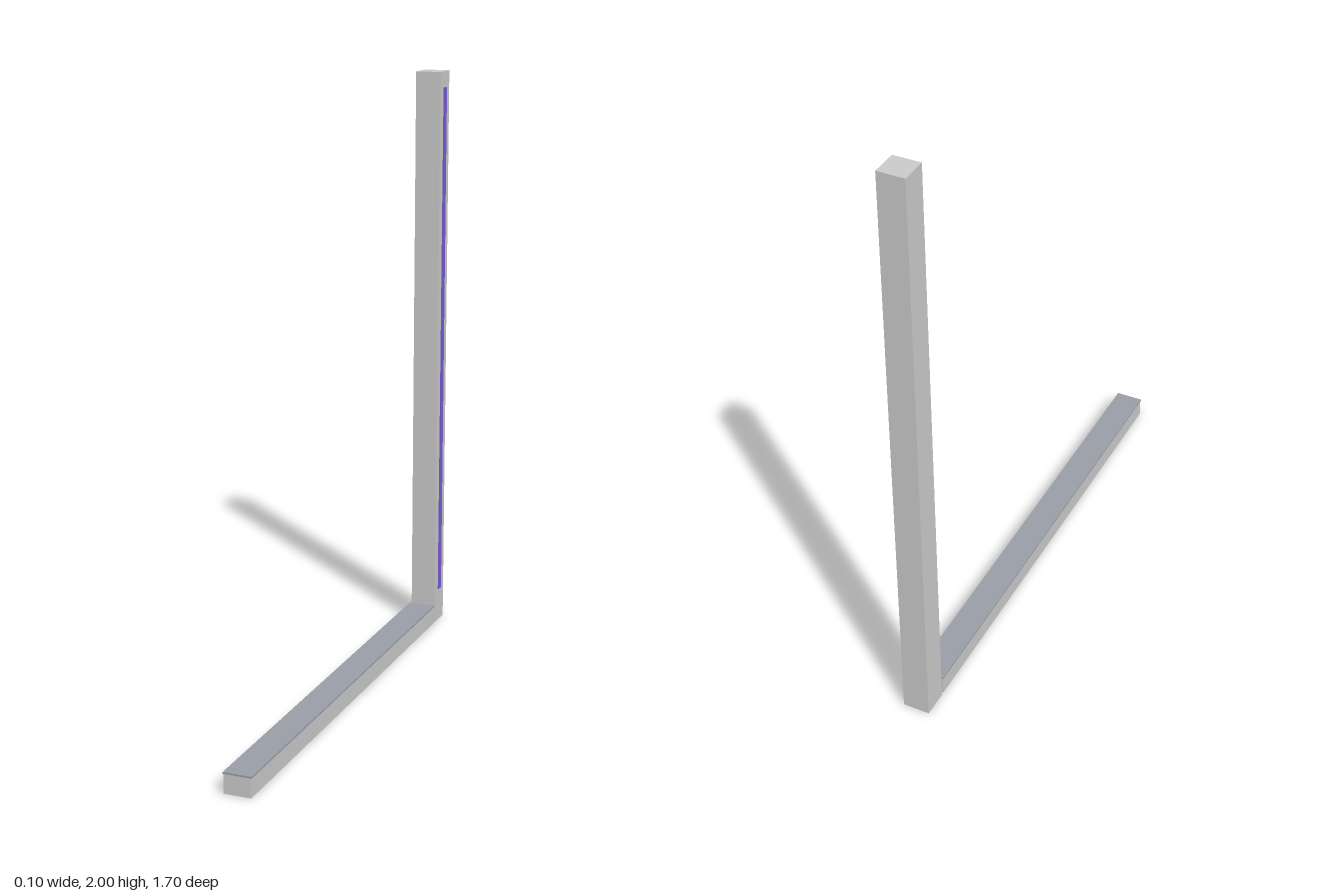
import * as THREE from 'three';

const grey = new THREE.MeshStandardMaterial({ color: 0xcccccc });
const slate = new THREE.MeshStandardMaterial({ color: 0x9a9fa8 });
const violet = new THREE.MeshStandardMaterial({ color: 0x7a5cd6 });

// Box given by its lower and upper corners
function block(name, min, max, material) {
  const size = max.map((v, i) => v - min[i]);
  const mesh = new THREE.Mesh(new THREE.BoxGeometry(...size), material);
  mesh.position.set(...max.map((v, i) => (v + min[i]) / 2));
  mesh.name = name;
  return mesh;
}

export function createModel() {
  const model = new THREE.Group();
  model.name = 'postAndRail';
  model.add(
    // Tall square post at the back
    block('post', [-0.047, 0, -0.85], [0.043, 2, -0.76], grey),
    // Thin coloured strip standing proud of the post's left side
    block('lightStrip', [0.042, 0.12, -0.813], [0.048, 1.945, -0.791], violet),
    // Low rail on the floor, a small gap ahead of the post
    block('rail', [-0.047, 0, -0.75], [0.043, 0.063, 0.85], grey),
    // Slightly wider cover plate along the rail
    block('railCover', [-0.049, 0.063, -0.75], [0.045, 0.069, 0.85], slate),
  );
  return model;
}
